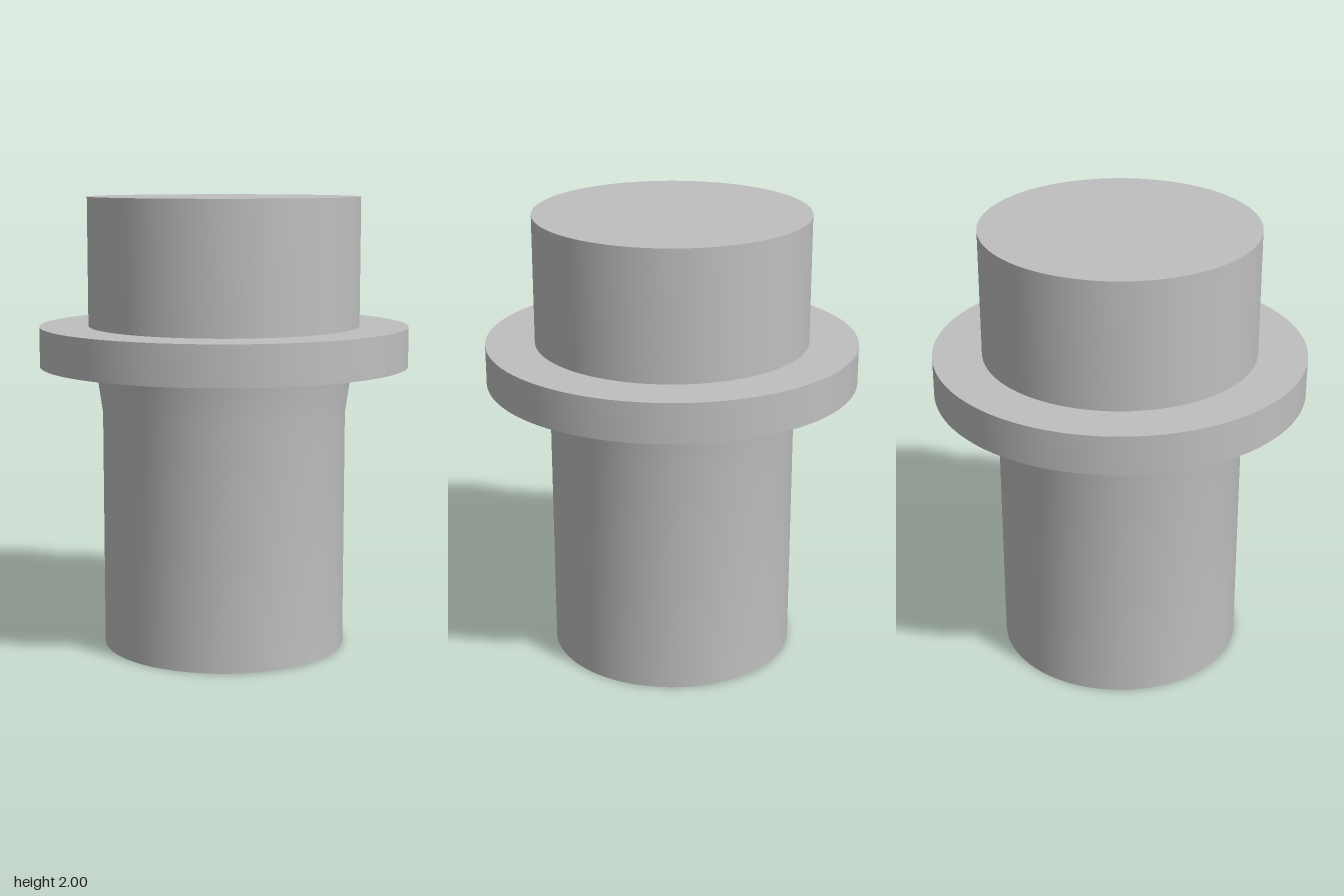
import * as THREE from 'three';
import { toCreasedNormals } from 'three/addons/utils/BufferGeometryUtils.js';

const SEGMENTS = 96;

// Turned part: profile of [radius, height] points, smooth around, sharp at the rims
function turned(name, profile, material) {
  const points = profile.map(([r, y]) => new THREE.Vector2(r, y));
  const geometry = toCreasedNormals(new THREE.LatheGeometry(points, SEGMENTS), Math.PI / 6);
  const mesh = new THREE.Mesh(geometry, material);
  mesh.name = name;
  return mesh;
}

export function createModel() {
  const group = new THREE.Group();
  group.name = 'flangedPlug';

  const grey = new THREE.MeshStandardMaterial({ color: 0xbfbfbf });
  grey.name = 'grey';

  // Straight shank flaring slightly up to the flange
  group.add(turned('shank', [[0, 0], [0.54, 0], [0.54, 1.05], [0.57, 1.26]], grey));
  // Wide collar
  group.add(turned('flange', [[0.57, 1.26], [0.815, 1.26], [0.815, 1.435], [0.6, 1.435]], grey));
  // Cylindrical head with a flat top
  group.add(turned('head', [[0.6, 1.435], [0.6, 2], [0, 2]], grey));

  return group;
}
